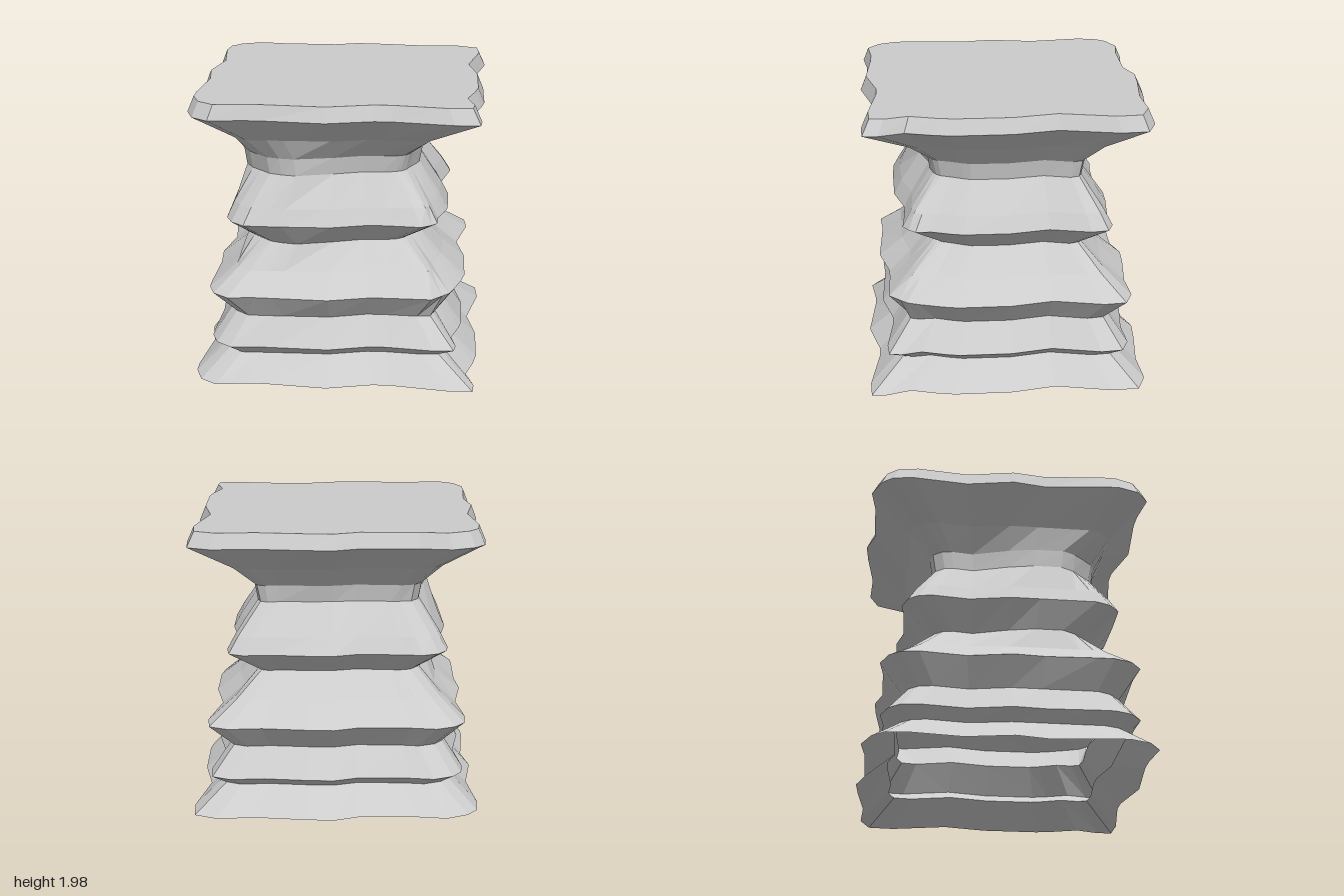
import * as THREE from 'three';

// Wavy square outline seen from above, as [x, z], running clockwise
const OUTLINE = [
  [-0.73, -0.97], [-0.53, -0.94], [-0.13, -0.93], [0.04, -0.985], [0.22, -0.97], [0.56, -0.925],
  [0.84, -0.935], [0.99, -0.87], [1, -0.69], [0.91, -0.3], [0.965, 0], [0.96, 0.4],
  [0.935, 0.52], [0.88, 0.7], [0.93, 0.87], [0.92, 0.97], [0.755, 0.975], [0.35, 0.91],
  [0.235, 0.91], [-0.08, 0.98], [-0.5, 0.935], [-0.62, 0.935], [-0.84, 0.96], [-0.95, 0.88],
  [-1, 0.74], [-1, 0.63], [-0.95, 0.23], [-0.99, 0], [-0.93, -0.32], [-0.97, -0.69],
  [-0.95, -0.83], [-0.88, -0.91],
];

// The same corners at the narrow waist, where they are rounded off
const WAIST = [
  [-0.42, -0.52], [-0.36, -0.51], [-0.12, -0.49], [0.03, -0.52], [0.18, -0.52], [0.4, -0.5],
  [0.48, -0.51], [0.53, -0.49], [0.55, -0.43], [0.5, -0.25], [0.54, 0], [0.53, 0.25],
  [0.51, 0.3], [0.47, 0.38], [0.44, 0.45], [0.41, 0.48], [0.37, 0.5], [0.28, 0.52],
  [0.15, 0.52], [-0.05, 0.58], [-0.3, 0.64], [-0.4, 0.62], [-0.48, 0.59], [-0.55, 0.52],
  [-0.61, 0.46], [-0.66, 0.37], [-0.66, 0.18], [-0.62, 0], [-0.54, -0.24], [-0.56, -0.38],
  [-0.55, -0.44], [-0.5, -0.5],
];

// Rings from bottom to top: height, blend towards the waist,
// limits xMin, xMax, zMin, zMax, and the chamfer limit of x + z at the front left corner
const RINGS = [
  [0, 0, -1, 1, -0.99, 0.99, 2],
  [0.17, 0.46, -0.8, 0.79, -0.78, 0.79, 2],
  [0.24, 0.26, -0.89, 0.89, -0.87, 0.88, 2],
  [0.43, 0.58, -0.76, 0.75, -0.73, 0.75, 2],
  [0.61, 0.23, -0.9, 0.9, -0.89, 0.9, 1.46],
  [0.75, 0.62, -0.72, 0.71, -0.69, 0.72, 2],
  [0.92, 1, -0.68, 0.55, -0.52, 0.66, 2],
  [1.09, 0.53, -0.78, 0.77, -0.75, 0.77, 1.3],
  [1.2, 0.67, -0.73, 0.7, -0.66, 0.72, 2],
  [1.41, 1, -0.67, 0.55, -0.51, 0.64, 2],
  [1.53, 0.95, -0.69, 0.57, -0.54, 0.65, 2],
  [1.68, 0.62, -0.73, 0.72, -0.69, 0.72, 2],
  [1.875, 0, -1, 1, -0.99, 0.99, 2],
  [1.975, 0.1, -0.96, 0.96, -0.95, 0.95, 2],
];

function makeRings() {
  const { lerp, clamp } = THREE.MathUtils;
  return RINGS.map(([y, t, x0, x1, z0, z1, chamfer]) => OUTLINE.map(([ox, oz], i) => {
    const x = clamp(lerp(ox, WAIST[i][0], t), x0, x1);
    const z = clamp(lerp(oz, WAIST[i][1], t), z0, z1);
    const cut = Math.max(0, x + z - chamfer) / 2;
    return [x - cut, y, z - cut];
  }));
}

function meshFrom(name, positions, material) {
  const geometry = new THREE.BufferGeometry();
  geometry.setAttribute('position', new THREE.Float32BufferAttribute(positions, 3));
  geometry.computeVertexNormals();
  const mesh = new THREE.Mesh(geometry, material);
  mesh.name = name;
  return mesh;
}

// Band of quads between consecutive rings
function wall(rings) {
  const out = [];
  for (let k = 0; k < rings.length - 1; k++) {
    const lo = rings[k], hi = rings[k + 1];
    for (let i = 0; i < lo.length; i++) {
      const j = (i + 1) % lo.length;
      out.push(...lo[i], ...hi[i], ...lo[j], ...lo[j], ...hi[i], ...hi[j]);
    }
  }
  return out;
}

export function createModel() {
  const group = new THREE.Group();
  group.name = 'steppedPedestal';
  const material = new THREE.MeshStandardMaterial({
    color: 0xcccccc, flatShading: true, side: THREE.DoubleSide,
  });
  const rings = makeRings();
  const last = rings.length - 1;

  // Open-bottomed foot, ridged column, and flaring slab rim
  group.add(meshFrom('foot', wall(rings.slice(0, 4)), material));
  group.add(meshFrom('ridgedColumn', wall(rings.slice(3, last)), material));
  group.add(meshFrom('slabRim', wall(rings.slice(last - 1)), material));

  // Flat top
  const top = rings[last];
  const cap = top.flatMap((p, i) => [0, p[1], 0, ...top[(i + 1) % top.length], ...p]);
  group.add(meshFrom('slabTop', cap, material));
  return group;
}
